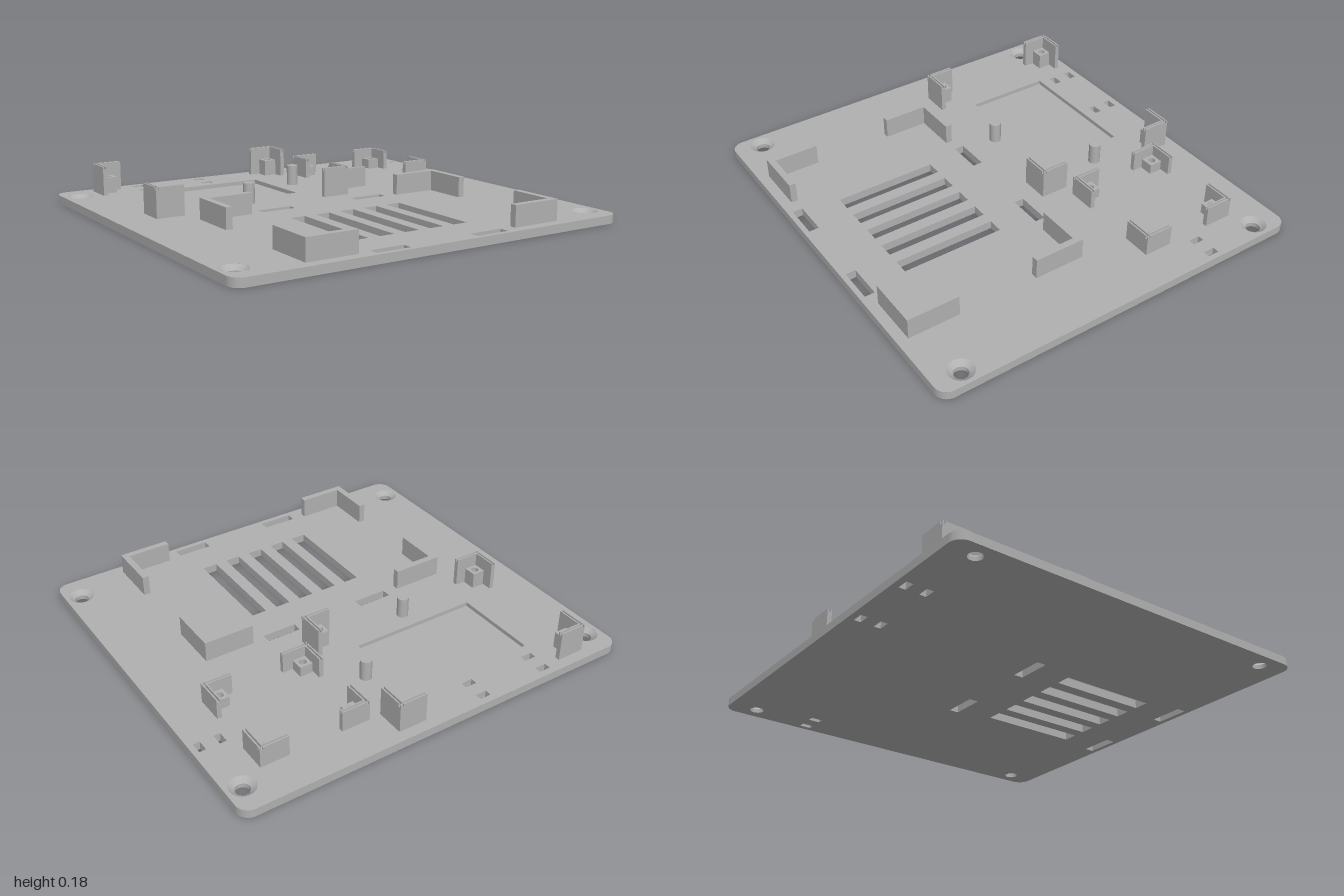
import * as THREE from 'three';
import { toCreasedNormals } from 'three/addons/utils/BufferGeometryUtils.js';

const PLATE = 0.04, FLOOR = 0.02;

export function createModel() {
  const model = new THREE.Group();
  model.name = 'mountingPlate';
  const grey = new THREE.MeshStandardMaterial({ color: 0xb0b0b0 });
  grey.name = 'grey plastic';
  const greyOpen = new THREE.MeshStandardMaterial({ color: 0xb0b0b0, side: THREE.DoubleSide });
  greyOpen.name = 'grey plastic open';

  const add = (parent, name, geometry, material = grey) => {
    const mesh = new THREE.Mesh(geometry, material);
    mesh.name = name;
    parent.add(mesh);
    return mesh;
  };
  // Box between two opposite corners, in any order
  const box = (parent, name, x0, x1, y0, y1, z0, z1) =>
    add(parent, name, new THREE.BoxGeometry(Math.abs(x1 - x0), y1 - y0, Math.abs(z1 - z0)))
      .position.set((x0 + x1) / 2, (y0 + y1) / 2, (z0 + z1) / 2);
  // Extrude a plan drawn in (x, z) between two heights
  const slab = (shape, y0, y1) => {
    const g = new THREE.ExtrudeGeometry(shape, { depth: y1 - y0, bevelEnabled: false, curveSegments: 10 });
    g.rotateX(Math.PI / 2).translate(0, y1, 0);
    return toCreasedNormals(g, 0.6);
  };
  const rectHole = (x0, x1, z0, z1) => new THREE.Path(
    [[x0, z0], [x0, z1], [x1, z1], [x1, z0]].map(([x, z]) => new THREE.Vector2(x, z)));
  const roundHole = (x, z, r) => new THREE.Path().absarc(x, z, r, 0, Math.PI * 2, true);

  // Through slots
  const slots = [];
  for (let i = -2; i <= 2; i++) slots.push([i * 0.133 - 0.037, i * 0.133 + 0.037, 0.186, 0.686]);
  for (const x of [-0.345, 0.175])
    for (const z of [-0.033, 0.86]) slots.push([x, x + 0.17, z, z + 0.048]);
  for (const x of [-0.607, -0.26])
    for (const z of [-0.9, -0.803]) slots.push([x, x + 0.057, z, z + 0.033]);
  for (const x of [0.845, 0.941]) slots.push([x, x + 0.032, -0.53, -0.474]);

  const screws = [];
  for (const x of [-0.922, 0.922]) for (const z of [-0.796, 0.796]) screws.push([x, z]);

  // Base plate in two layers: the upper one has the pocket and countersinks
  const plateShape = (screwRadius) => {
    const w = 1, d = 0.933, r = 0.06;
    const s = new THREE.Shape();
    s.absarc(w - r, d - r, r, 0, Math.PI / 2);
    s.absarc(-w + r, d - r, r, Math.PI / 2, Math.PI);
    s.absarc(-w + r, -d + r, r, Math.PI, Math.PI * 1.5);
    s.absarc(w - r, -d + r, r, Math.PI * 1.5, Math.PI * 2);
    slots.forEach((a) => s.holes.push(rectHole(...a)));
    screws.forEach(([x, z]) => s.holes.push(roundHole(x, z, screwRadius)));
    return s;
  };
  add(model, 'plateFloor', slab(plateShape(0.033), 0, FLOOR));
  const upper = plateShape(0.06);
  upper.holes.push(rectHole(-0.625, 0.02, -0.713, -0.292));
  add(model, 'plateTop', slab(upper, FLOOR, PLATE));
  for (const [x, z] of screws)
    add(model, 'countersink', new THREE.CylinderGeometry(0.06, 0.033, PLATE - FLOOR, 32, 1, true), greyOpen)
      .position.set(x, (PLATE + FLOOR) / 2, z);

  // L-shaped battery holders
  const holders = new THREE.Group();
  holders.name = 'batteryHolders';
  model.add(holders);
  for (const sx of [-1, 1])
    for (const [z, sz] of [[-0.009, 1], [0.881, -1]]) {
      box(holders, 'holderWallAcross', sx * 0.66, sx * 0.412, PLATE, 0.14, z, z + sz * 0.032);
      box(holders, 'holderWallAlong', sx * 0.66, sx * 0.628, PLATE, 0.14, z + sz * 0.032, z + sz * 0.249);
    }

  // Round support pegs
  for (const [x, z] of [[0.123, -0.5], [-0.302, -0.2]])
    add(model, 'supportPeg', new THREE.CylinderGeometry(0.028, 0.028, 0.1, 24)).position.set(x, 0.09, z);

  // Board corner: hollow square post inside a grooved L wall; sx, sz point outward
  const boardCorner = (x, z, sx, sz, postTop, wallTop) => {
    const corner = new THREE.Group();
    corner.name = 'boardCorner';
    model.add(corner);
    const h = 0.032, t = 0.022, len = 0.139, grooveY = wallTop - 0.014;
    const post = new THREE.Shape([[-h, -h], [h, -h], [h, h], [-h, h]]
      .map(([a, b]) => new THREE.Vector2(x + a, z + b)));
    post.holes.push(roundHole(x, z, 0.018));
    add(corner, 'boardPost', slab(post, PLATE, postTop));
    // u and v run inward from the outer corner
    const wall = (name, u0, u1, v0, v1, y0, y1) => {
      const ox = x + sx * 0.057, oz = z + sz * 0.058;
      box(corner, name, ox - sx * u0, ox - sx * u1, y0, y1, oz - sz * v0, oz - sz * v1);
    };
    wall('cornerWallAcross', 0, len, 0, t, PLATE, grooveY);
    wall('cornerWallAlong', 0, t, t, len, PLATE, grooveY);
    for (const [a0, a1] of [[0, 0.007], [0.015, t]])
      for (const [b0, b1] of [[0, 0.007], [0.015, len]]) {
        wall('wallLipAcross', b0, b1, a0, a1, grooveY, wallTop);
        if (b1 === len) wall('wallLipAlong', a0, a1, a0 > 0 ? t : b0, b1, grooveY, wallTop);
      }
  };
  const boards = [
    { xs: [-0.762, 0.16], zs: [-0.822, -0.178], post: 0.12, wall: 0.183 },
    { xs: [0.332, 0.754], zs: [-0.688, -0.308], post: 0.09, wall: 0.141 },
  ];
  for (const b of boards)
    b.xs.forEach((x, i) => b.zs.forEach((z, j) =>
      boardCorner(x, z, i * 2 - 1, j * 2 - 1, b.post, b.wall)));

  return model;
}
